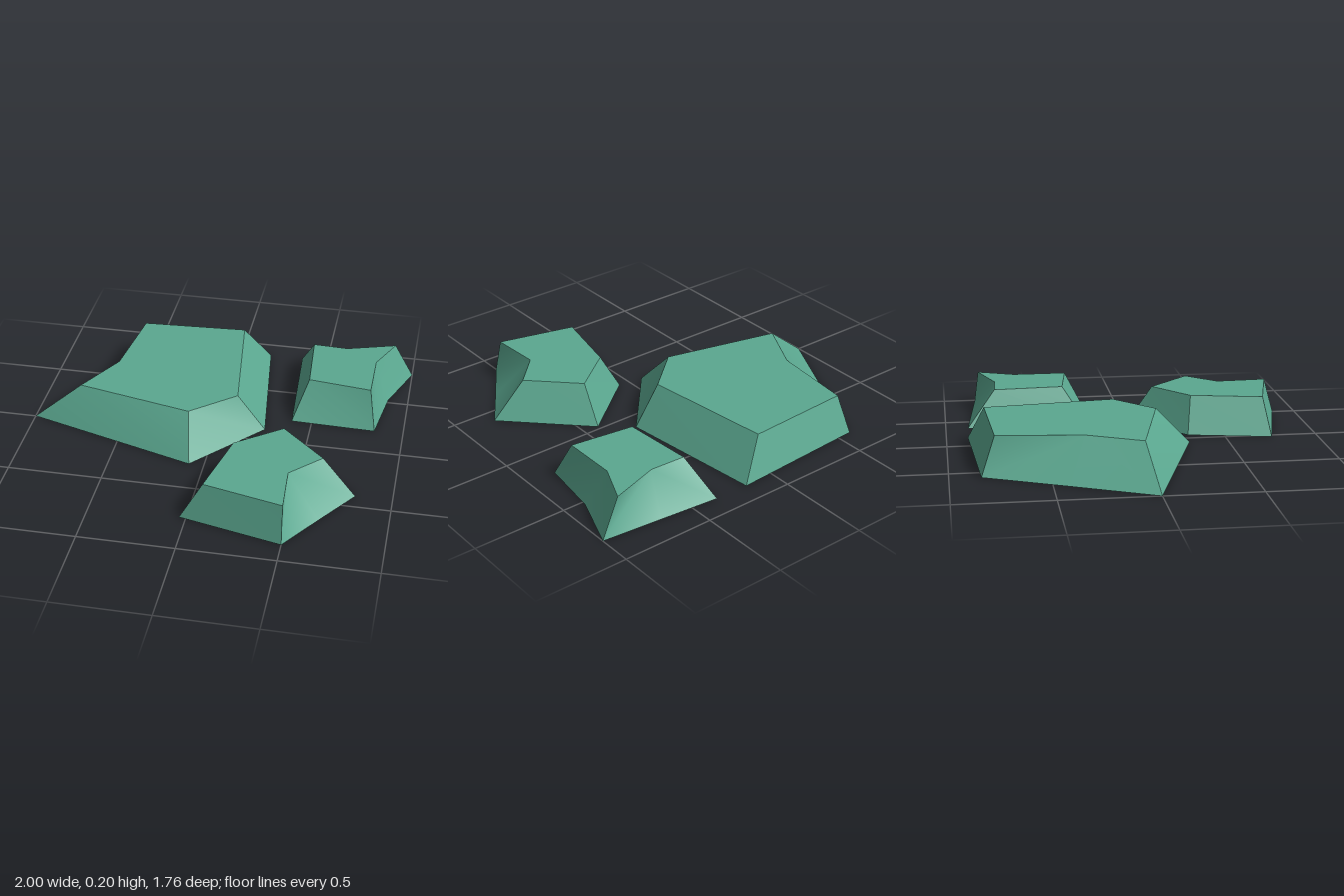
import * as THREE from 'three';

const green = new THREE.MeshStandardMaterial({ color: 0x5ba890, side: THREE.DoubleSide });
green.name = 'muted green';

// Ring entries, clockwise from above: [bottom x, bottom z, top x, top z, bend].
// A bend is a soft fold within one wall; every other entry is a sharp corner.
const STONES = [
  { name: 'largeStone', height: 0.203, ring: [
    [-1, 0, -0.745, -0.045],
    [-0.79, -0.42, -0.6, -0.325, true],
    [-0.585, -0.84, -0.55, -0.77],
    [0.17, -0.885, 0.025, -0.8],
    [0.26, -0.105, 0.11, -0.1],
    [-0.08, 0.29, -0.12, 0.1],
  ] },
  { name: 'backStone', height: 0.196, ring: [
    [0.355, -0.88, 0.44, -0.725],
    [0.675, -0.85, 0.63, -0.715, true],
    [1, -0.82, 0.895, -0.8],
    [0.89, -0.525, 0.805, -0.595, true],
    [0.845, -0.2, 0.805, -0.3],
    [0.39, -0.215, 0.465, -0.345],
  ] },
  { name: 'frontStone', height: 0.196, ring: [
    [0.415, 0.02, 0.4, 0.155],
    [0.81, 0.41, 0.635, 0.385],
    [0.655, 0.64, 0.48, 0.545, true],
    [0.5, 0.875, 0.495, 0.82],
    [-0.035, 0.75, 0.08, 0.72],
    [0.06, 0.305, 0.165, 0.335],
  ] },
];

// Sloping walls: vertices are shared across a bend and split at a corner
function wallGeometry(ring, height) {
  const positions = [], index = [];
  const addColumn = ([bx, bz, tx, tz]) => positions.push(bx, 0, bz, tx, height, tz);
  ring.forEach((entry, i) => {
    const next = ring[(i + 1) % ring.length];
    if (!entry[4]) addColumn(entry);
    addColumn(next);
    const b2 = positions.length / 3 - 2, t2 = b2 + 1, b = b2 - 2, t = b2 - 1;
    if (entry[4]) index.push(b, t, b2, t, t2, b2);
    else index.push(b, t, t2, b, t2, b2);
  });
  const geometry = new THREE.BufferGeometry();
  geometry.setAttribute('position', new THREE.Float32BufferAttribute(positions, 3));
  geometry.setIndex(index);
  geometry.computeVertexNormals();
  return geometry;
}

// Flat top face
function topGeometry(ring, height) {
  const shape = new THREE.Shape(ring.map(([, , x, z]) => new THREE.Vector2(x, -z)));
  return new THREE.ShapeGeometry(shape).rotateX(-Math.PI / 2).translate(0, height, 0);
}

export function createModel() {
  const model = new THREE.Group();
  model.name = 'steppingStones';
  for (const { name, height, ring } of STONES) {
    const stone = new THREE.Group();
    stone.name = name;
    // Hollow stone, open underneath
    const walls = new THREE.Mesh(wallGeometry(ring, height), green);
    walls.name = 'slopedWalls';
    const top = new THREE.Mesh(topGeometry(ring, height), green);
    top.name = 'flatTop';
    stone.add(walls, top);
    model.add(stone);
  }
  return model;
}
